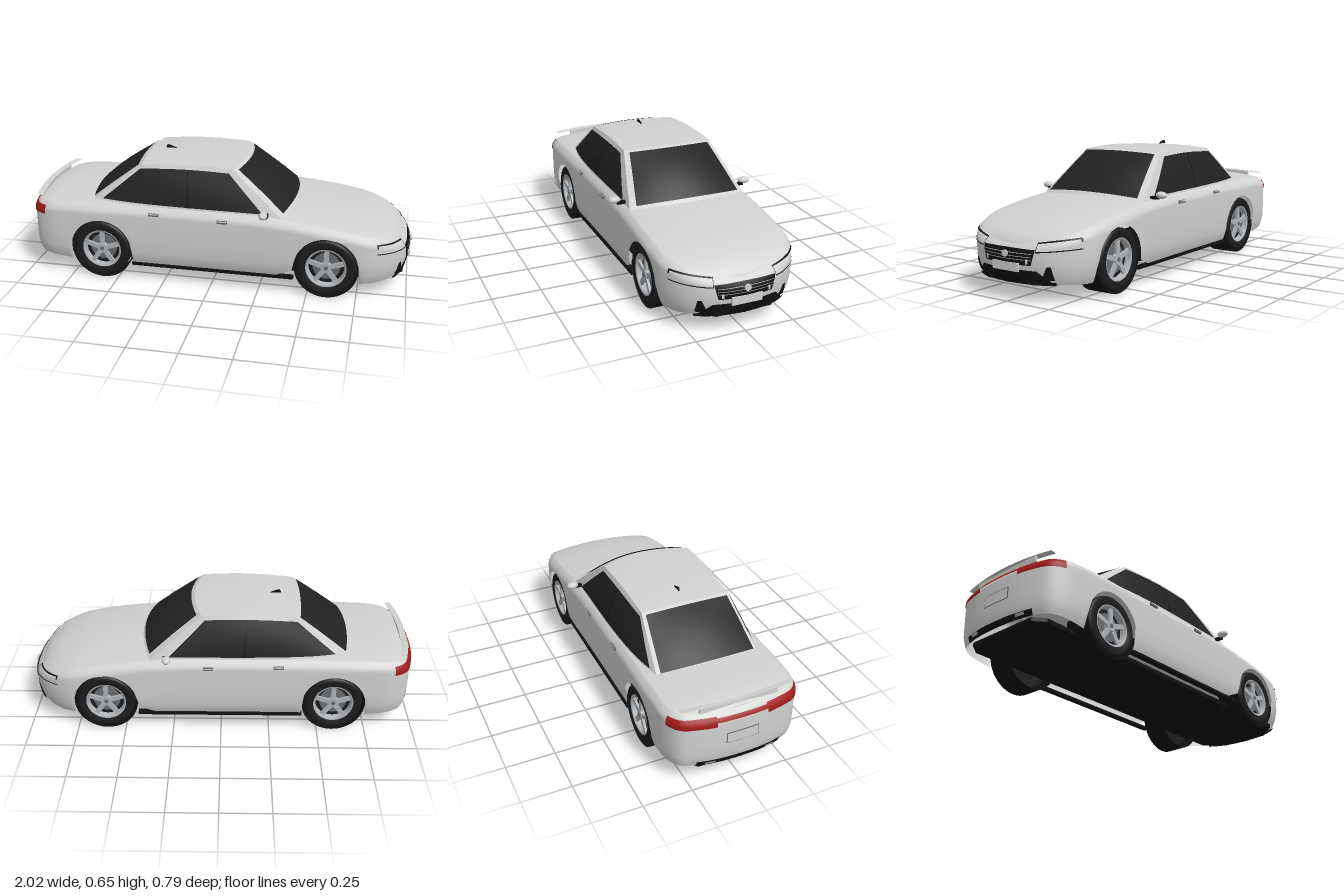
import * as THREE from 'three';
import { mergeVertices } from 'three/addons/utils/BufferGeometryUtils.js';

const mat = (name, color, side = THREE.DoubleSide) => {
  const m = new THREE.MeshStandardMaterial({ color, side });
  m.name = name;
  return m;
};
const lerp = THREE.MathUtils.lerp;

// Grid surface from a rule fn(u, v) -> [x, y, z], u and v in 0..1
function patch(fn, nu, nv) {
  const pos = [], idx = [];
  for (let i = 0; i <= nu; i++) for (let j = 0; j <= nv; j++) pos.push(...fn(i / nu, j / nv, i, j));
  for (let i = 0; i < nu; i++) for (let j = 0; j < nv; j++) {
    const a = i * (nv + 1) + j, b = a + nv + 1;
    idx.push(a, b, a + 1, b, b + 1, a + 1);
  }
  let g = new THREE.BufferGeometry();
  g.setAttribute('position', new THREE.Float32BufferAttribute(pos, 3));
  g.setIndex(idx);
  g = mergeVertices(g, 1e-5);
  g.computeVertexNormals();
  return g;
}

// Half plan outline from nose to tail; y carries the shoulder height
const N = 200;
const outline = new THREE.CatmullRomCurve3([
  [1, .25, 0], [.99, .258, .1], [.96, .278, .2], [.9, .302, .28], [.8, .327, .335], [.68, .35, .349],
  [.42, .383, .35], [.2, .397, .347], [-.3, .4, .347], [-.72, .397, .35], [-.87, .39, .338],
  [-.945, .383, .295], [-.98, .38, .2], [-.996, .38, .1], [-1, .38, 0],
].map(p => new THREE.Vector3(...p))).getSpacedPoints(N);
const normals = outline.map((p, i) => {
  if (i === 0) return [1, 0];
  if (i === N) return [-1, 0];
  const d = outline[i + 1].clone().sub(outline[i - 1]), l = Math.hypot(d.x, d.z);
  return [d.z / l, -d.x / l];
});

// How far the wall leans in at the rounded shoulder and the tucked sill
const inset = (y, top) => .035 * Math.max(0, (.05 - top + y) / .05) ** 2 + 2.5 * Math.max(0, .18 - y) ** 2;

// Lower edge of the body, with wheel arches
const axles = [.595, -.58];
function bottomY(x) {
  let y = .08;
  if (x > .75) y = .07 + .02 * Math.max(0, (x - .85) / .15);
  else if (x < -.74) y = .075 + .025 * (-.74 - x) / .26;
  else if (x > .33) y = .08 + .45 * Math.min(.11, x - .33);
  for (const a of axles) {
    const d = Math.abs(x - a);
    if (d < .163) y = .15 + Math.sqrt(.163 ** 2 - d * d);
  }
  return y;
}

// Body shell: wall, crowned top, opposite wall
function bodyGeometry() {
  const wall = [0, .1, .25, .5, .75, 1, 1.25, 1.5, 1.75, 1.9, 2], W = wall.length, T = 12;
  const total = 2 * W + T - 2;
  return patch((u, v, i, j) => {
    const p = outline[i], n = normals[i], yb = bottomY(p.x);
    const side = j < W + T / 2 ? 1 : -1;
    const f = wall[Math.min(W - 1, j, total - j)];
    const y = f <= 1 ? lerp(yb, p.y - .05, f) : p.y - .05 * (2 - f);
    const k = inset(y, p.y), x = p.x - n[0] * k, z = Math.max(0, p.z - n[1] * k);
    if (j < W || total - j < W) return [x, y, side * z];
    const w = 1 - 2 * (j - W + 1) / T;
    return [x, p.y + .022 * Math.min(1, z / .3) * (1 - w * w), z * w];
  }, N, total);
}

// Point on the front (end = 1) or rear (end = -1) wall at a given z and y
function onWall(end, z, y, off) {
  const a = Math.abs(z);
  let i = end > 0 ? 0 : N;
  while (outline[i + end].z < a) i += end;
  const p = outline[i], q = outline[i + end], t = (a - p.z) / (q.z - p.z);
  const nx = lerp(normals[i][0], normals[i + end][0], t), nz = lerp(normals[i][1], normals[i + end][1], t);
  const top = lerp(p.y, q.y, t), k = off - inset(Math.min(y, top), top);
  return [lerp(p.x, q.x, t) + nx * k, y, z + Math.sign(z) * nz * k];
}
// Thin plate on that wall; corners are [z, y]: lower a, lower b, upper b, upper a
const wallPlate = (end, [a, b, c, d], off = .004) => patch((u, v) =>
  onWall(end, lerp(lerp(a[0], b[0], u), lerp(d[0], c[0], u), v), lerp(lerp(a[1], b[1], u), lerp(d[1], c[1], u), v), off), 24, 4);
const band = (z0, z1, y0, y1) => [[z0, y0], [z1, y0], [z1, y1], [z0, y1]];

// Cabin surfaces; w runs -1..1 across, u rear to front, v base to roof
const mix = (a, b, t) => a.map((n, i) => lerp(n, b[i], t));
const roof = (u, w) => [lerp(-.39 + .01 * w * w, .14 - .04 * w * w, u),
  lerp(.595, .605, u) + .012 * Math.sin(Math.PI * u) + .011 * (1 - w * w), w * lerp(.235, .24, u)];
const frontScreen = (w, v, off = 0) => {
  const p = mix([.42 - .05 * w * w, .382 + .02 * (1 - w * w), .315 * w], roof(1, w), v);
  const b = .012 * Math.sin(Math.PI * v) * (1 - w * w) + off;
  return [p[0] + b, p[1] + b, p[2]];
};
const rearScreen = (w, v, off = 0) => {
  const p = mix([-.67 + .025 * w * w, .393 + .016 * (1 - w * w), .27 * w], roof(0, w), v);
  const b = .01 * Math.sin(Math.PI * v) * (1 - w * w) + off;
  return [p[0] - b, p[1] + b, p[2]];
};
const cabinSide = (s, u, v, off = 0) => {
  const p = mix([lerp(-.645, .37, u), lerp(.393, .382, u), s * (.32 - .05 * (1 - u) ** 6 - .005 * u)], roof(u, s), v);
  p[2] += s * (.012 * Math.sin(Math.PI * v) * Math.sin(Math.PI * u) + off);
  return p;
};

export function createModel() {
  const paint = mat('silver paint', 0xd0d2d0), glass = mat('dark glass', 0x222222);
  const black = mat('black trim', 0x111111), rubber = mat('tyre rubber', 0x1c1c1c);
  const alloy = mat('wheel alloy', 0xb0b4b8), red = mat('tail lamp red', 0xa01a1a);
  const grey = mat('grey trim', 0x6a6c6e);
  const car = new THREE.Group();
  car.name = 'sedan';
  const add = (name, geo, m, x = 0, y = 0, z = 0, parent = car) => {
    const mesh = new THREE.Mesh(geo, m);
    mesh.name = name;
    mesh.position.set(x, y, z);
    parent.add(mesh);
    return mesh;
  };
  const box = (x, y, z) => new THREE.BoxGeometry(x, y, z);

  add('bodyShell', bodyGeometry(), paint);

  // Cabin and glass
  add('roof', patch((u, v) => roof(u, 2 * v - 1), 16, 16), paint);
  add('windscreenFrame', patch((u, v) => frontScreen(2 * u - 1, v), 20, 12), paint);
  add('windscreen', patch((u, v) => frontScreen(.9 * (2 * u - 1), lerp(.07, .95, v), .004), 20, 12), glass);
  add('rearWindowFrame', patch((u, v) => rearScreen(2 * u - 1, v), 20, 12), paint);
  add('rearWindow', patch((u, v) => rearScreen(.93 * (2 * u - 1), lerp(.06, .95, v), .004), 20, 12), glass);
  for (const s of [1, -1]) {
    add('cabinSide', patch((u, v) => cabinSide(s, u, v), 24, 12), paint);
    add('sideWindow', patch((u, v) => cabinSide(s, lerp(.04, .92, u), lerp(.1, .91, v), .004), 24, 12), glass);
    add('doorPillar', patch((u, v) => cabinSide(s, lerp(.515, .525, u), lerp(.1, .91, v), .006), 1, 12), black);
    // Side fittings
    for (const [x, y] of [[-.29, .37], [.065, .36]]) {
      add('doorHandle', box(.052, .014, .01), grey, x, y, s * .35);
      add('doorHandleGrip', box(.046, .005, .012), paint, x, y + .004, s * .351);
    }
    add('sillStrip', box(.85, .014, .03), black, .005, .077, s * .32);
    add('mirrorArm', box(.02, .014, .05), black, .285, .404, s * .325);
    add('mirror', new THREE.SphereGeometry(1, 20, 14), paint, .275, .418, s * .362).scale.set(.022, .018, .031);
  }

  // Front end
  add('grille', wallPlate(1, [[-.135, .165], [.135, .165], [.155, .237], [-.155, .237]]), black);
  for (const y of [.188, .202, .217]) add('grilleSlat', wallPlate(1, band(-.14, .14, y, y + .003), .007), alloy);
  const disc = add('grilleDisc', new THREE.CylinderGeometry(.016, .016, .008, 24), paint, 1.007, .212, 0);
  disc.rotation.z = Math.PI / 2;
  add('frontPlate', box(.008, .04, .154), paint, 1.002, .153, 0);
  add('lowerIntake', wallPlate(1, [[-.24, .076], [.24, .076], [.16, .142], [-.16, .142]], .005), black);
  add('frontSplitter', wallPlate(1, band(-.24, .24, .074, .09), .01), black);
  for (const s of [1, -1]) {
    add('cornerVent', wallPlate(1, [[s * .18, .1], [s * .235, .1], [s * .222, .164], [s * .205, .164]], .006), black);
    add('headlampUpperLine', wallPlate(1, [[s * .16, .262], [s * .318, .285], [s * .318, .292], [s * .16, .267]]), black);
    add('headlampLowerLine', wallPlate(1, [[s * .16, .225], [s * .318, .239], [s * .318, .244], [s * .16, .23]]), black);
    add('headlampOuterLine', wallPlate(1, band(s * .315, s * .319, .272, .29)), black);
    add('headlampInnerLine', wallPlate(1, band(s * .157, s * .16, .225, .267)), black);
    add('grilleLamp', wallPlate(1, band(s * .11, s * .122, .172, .195), .008), paint);
  }

  // Rear end
  for (const s of [1, -1]) add('tailLamp', wallPlate(-1, band(s * .13, s * .334, .322, .368)), red);
  add('tailLampStrip', wallPlate(-1, band(-.13, .13, .343, .362)), red);
  add('rearPlateFrame', wallPlate(-1, band(-.083, .083, .215, .275), .003), grey);
  add('rearPlate', wallPlate(-1, band(-.079, .079, .219, .271), .005), paint);
  add('rearDiffuser', wallPlate(-1, band(-.22, .22, .095, .125), .005), black);
  for (const s of [1, -1]) add('exhaustTrim', wallPlate(-1, band(s * .13, s * .18, .106, .12), .009), alloy);
  add('bootSpoiler', patch((u, v) => {
    const w = 2 * u - 1;
    return [-.968 + .03 * v + .03 * w * w, .418 - .004 * v - .006 * w * w, .29 * w];
  }, 16, 2), paint);
  add('bootSpoilerBase', box(.012, .03, .4), paint, -.945, .4, 0);

  // Underside and roof fin
  const floor = new THREE.Shape([[-.955, -.2], [-.9, -.245], [.88, -.245], [.975, -.14], [.975, .14], [.88, .245],
    [-.9, .245], [-.955, .2]].map(p => new THREE.Vector2(...p)));
  add('floorPan', new THREE.ExtrudeGeometry(floor, { depth: .02, bevelEnabled: false }), black, 0, .096, 0).rotation.x = Math.PI / 2;
  const fin = new THREE.Shape([[-.03, 0], [-.022, .017], [-.005, .014], [.028, 0]].map(p => new THREE.Vector2(...p)));
  add('roofFin', new THREE.ExtrudeGeometry(fin, { depth: .006, bevelEnabled: false }), black, -.28, .619, -.003);

  // Wheels, built facing +z and turned round on the far side
  const tyre = new THREE.LatheGeometry([[.1, -.038], [.135, -.043], [.146, -.038], [.15, -.028], [.15, .028],
    [.146, .038], [.135, .043], [.104, .04], [.1, .03]].map(p => new THREE.Vector2(...p)), 40);
  const rim = new THREE.LatheGeometry([[.09, .008], [.092, .034], [.1, .04], [.105, .039]].map(p => new THREE.Vector2(...p)), 40);
  const well = new THREE.CylinderGeometry(.163, .163, .13, 32, 1, true, Math.PI / 2, Math.PI);
  for (const x of axles) for (const s of [1, -1]) {
    const wheel = new THREE.Group();
    wheel.name = 'wheel';
    wheel.position.set(x, .15, s * .299);
    if (s < 0) wheel.rotation.y = Math.PI;
    car.add(wheel);
    const round = (name, geo, m, z = 0) => { add(name, geo, m, 0, 0, z, wheel).rotation.x = Math.PI / 2; };
    round('tyre', tyre, rubber);
    round('rim', rim, alloy);
    round('brakeDisc', new THREE.CylinderGeometry(.07, .07, .01, 32), grey, .006);
    round('wheelBack', new THREE.CylinderGeometry(.1, .1, .03, 32), rubber, -.012);
    round('hub', new THREE.CylinderGeometry(.026, .03, .02, 20), alloy, .026);
    round('hubCap', new THREE.CylinderGeometry(.011, .011, .004, 16), grey, .037);
    for (let i = 0; i < 5; i++) {
      const a = Math.PI / 2 + i * Math.PI * 2 / 5;
      add('spoke', box(.078, .024, .012), alloy, Math.cos(a) * .057, Math.sin(a) * .057, .027, wheel).rotation.z = a;
    }
    const arch = add('wheelWell', well, black, x, .15, s * .27);
    arch.rotation.set(-Math.PI / 2, 0, 0);
    arch.rotation.order = 'XYZ';
  }
  return car;
}
